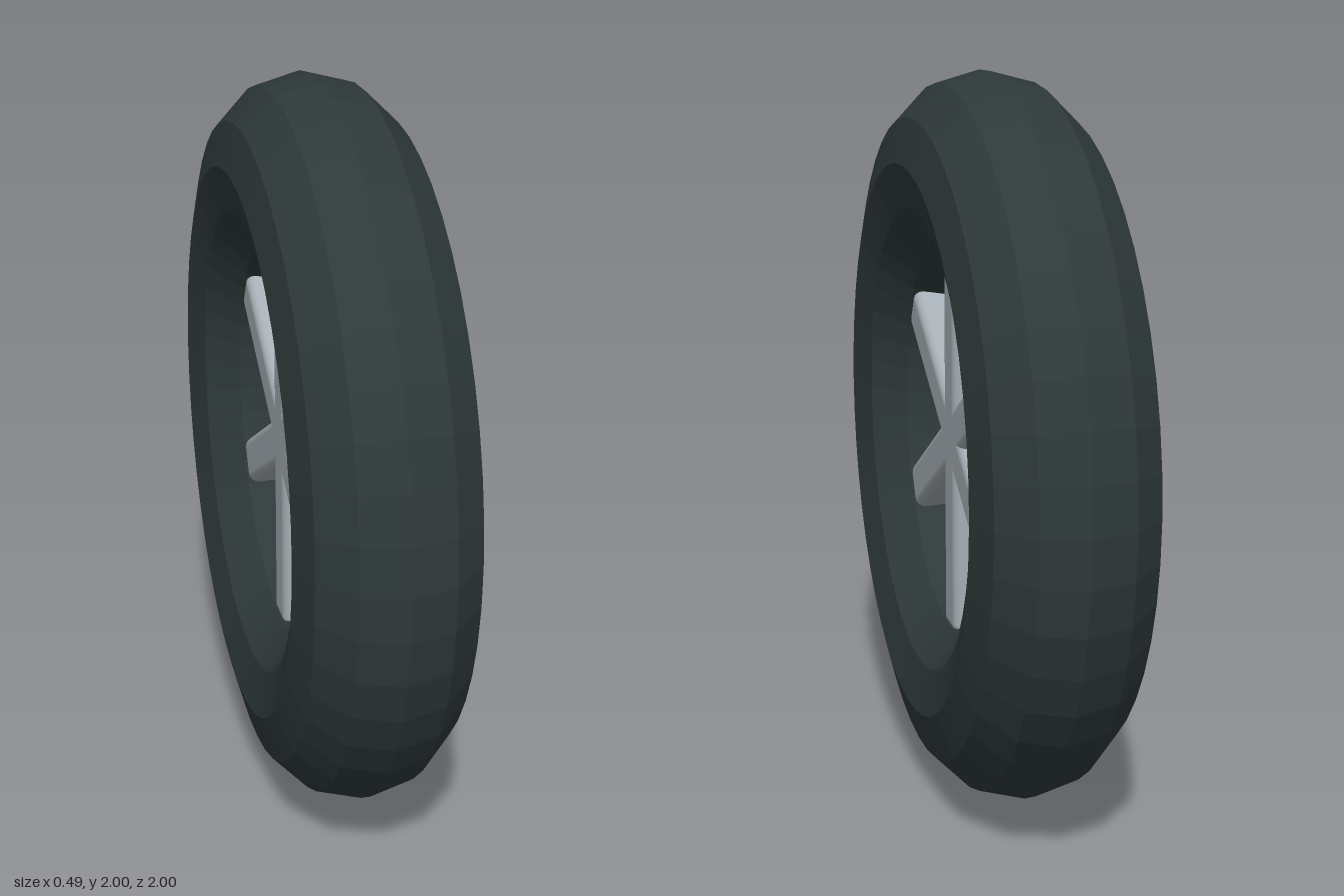
import * as THREE from 'three';
import { RoundedBoxGeometry } from 'three/addons/geometries/RoundedBoxGeometry.js';

export function createModel() {
  const wheel = new THREE.Group();
  wheel.name = 'wheel';

  const rubber = new THREE.MeshStandardMaterial({ color: 0x2f3939, flatShading: true });
  rubber.name = 'dark rubber';
  const metal = new THREE.MeshStandardMaterial({ color: 0xa6afb5 });
  metal.name = 'grey metal';

  // Faceted tyre, with its axle along x
  const tubeRadius = 0.243;
  const tyreGeometry = new THREE.TorusGeometry(1 - tubeRadius, tubeRadius, 12, 48);
  tyreGeometry.rotateY(Math.PI / 2);
  const tyre = new THREE.Mesh(tyreGeometry, rubber);
  tyre.name = 'tyre';
  wheel.add(tyre);

  // Three rounded bars crossing at the hub make six spokes
  const barGeometry = new RoundedBoxGeometry(0.24, 1.12, 0.135, 4, 0.03);
  for (let i = 0; i < 3; i++) {
    const bar = new THREE.Mesh(barGeometry, metal);
    bar.name = `spokeBar${i + 1}`;
    bar.rotation.x = (i * Math.PI) / 3;
    wheel.add(bar);
  }

  // Stand the wheel on the ground
  wheel.children.forEach((part) => { part.position.y = 1; });
  return wheel;
}
